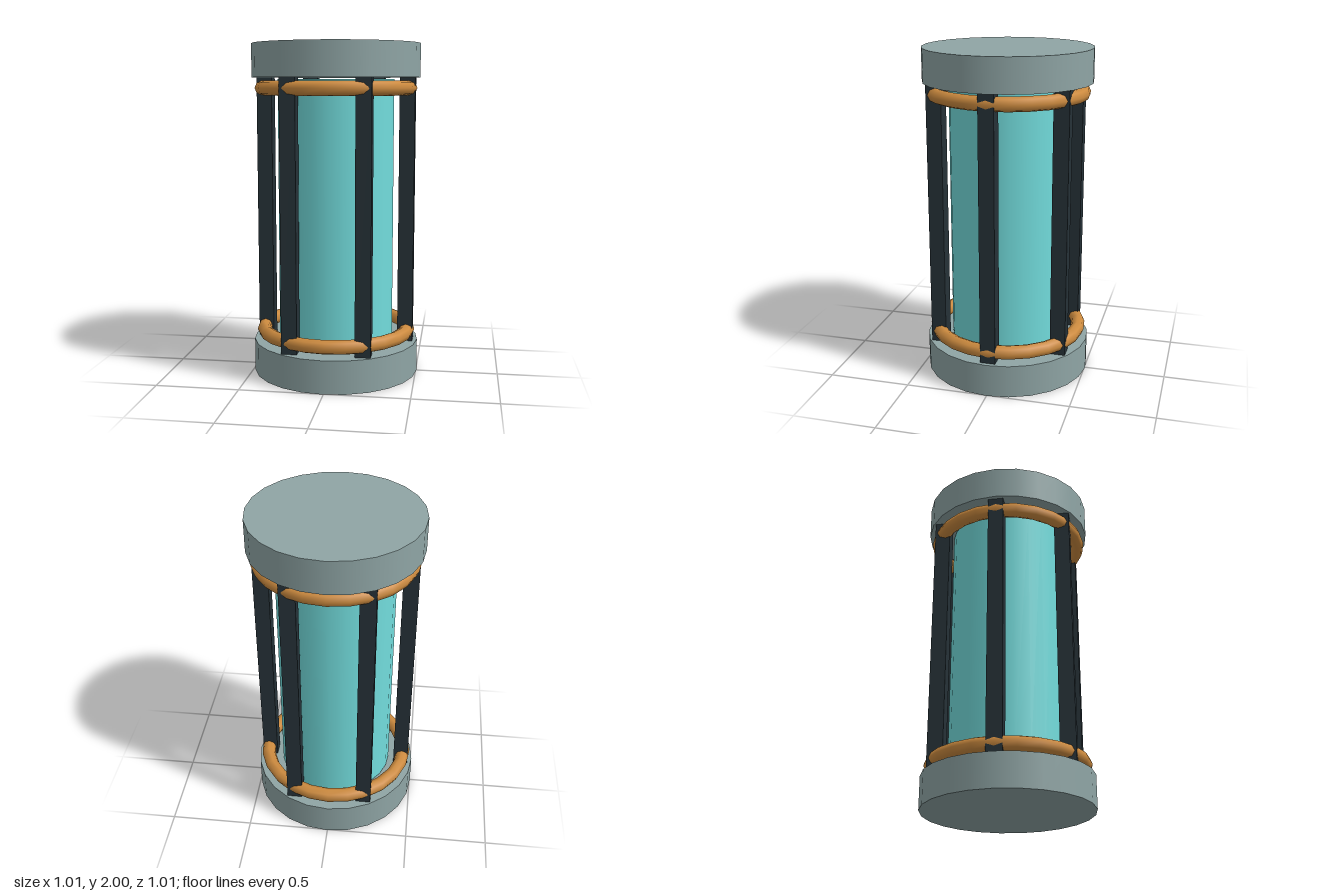
import * as THREE from 'three';

const mat = (name, color) => {
  const m = new THREE.MeshStandardMaterial({ color });
  m.name = name;
  return m;
};

export function createModel() {
  const group = new THREE.Group();
  const capGrey = mat('capGrey', 0x8fa5a5);
  const glassTeal = mat('glassTeal', 0x72dcdc);
  const postDark = mat('postDark', 0x263238);
  const ringBronze = mat('ringBronze', 0xcd8b3f);

  const add = (name, geometry, material, x, y, z) => {
    const mesh = new THREE.Mesh(geometry, material);
    mesh.name = name;
    mesh.position.set(x, y, z);
    group.add(mesh);
    return mesh;
  };

  // End caps
  const cap = new THREE.CylinderGeometry(0.505, 0.505, 0.2, 24);
  add('bottomCap', cap, capGrey, 0, 0.1, 0);
  add('topCap', cap, capGrey, 0, 1.9, 0);

  // Glass tube, just short of both caps
  add('glassTube', new THREE.CylinderGeometry(0.35, 0.35, 1.58, 24), glassTeal, 0, 1, 0);

  // Six square posts, all aligned with the axes
  const post = new THREE.BoxGeometry(0.092, 1.6, 0.092);
  for (let i = 0; i < 6; i++) {
    const a = (i * Math.PI) / 3;
    add('post' + (i + 1), post, postDark, 0.432 * Math.cos(a), 1, 0.432 * Math.sin(a));
  }

  // Retaining rings threaded through the posts
  const ring = new THREE.TorusGeometry(0.445, 0.043, 8, 24).rotateX(Math.PI / 2);
  add('lowerRing', ring, ringBronze, 0, 0.262, 0);
  add('upperRing', ring, ringBronze, 0, 1.738, 0);

  return group;
}
